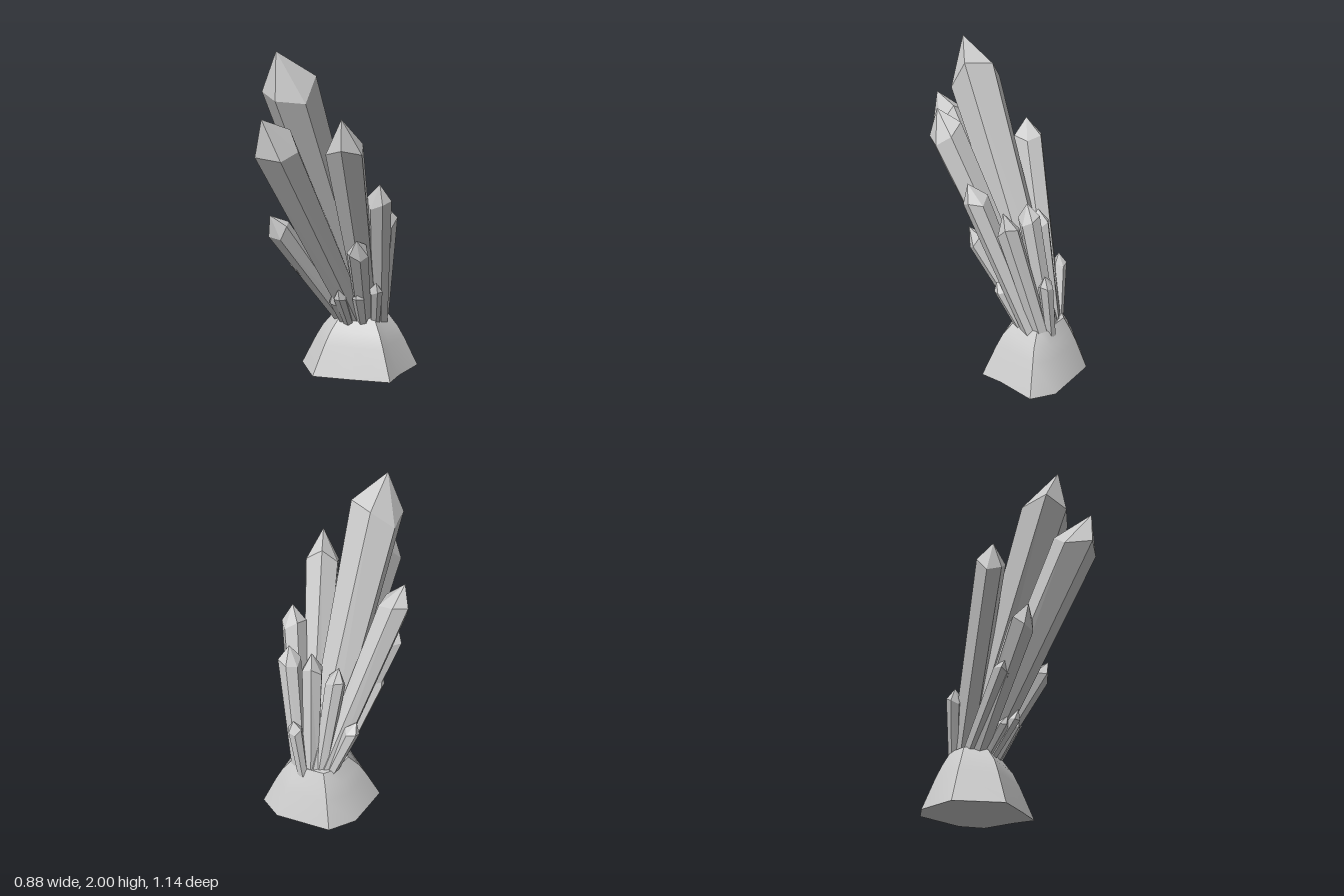
import * as THREE from 'three';
import { toCreasedNormals } from 'three/addons/utils/BufferGeometryUtils.js';

const crystalMat = new THREE.MeshStandardMaterial({ color: 0xcccccc, flatShading: true });
const rockMat = new THREE.MeshStandardMaterial({ color: 0xcccccc });

// Six-sided shaft that widens upward to an uneven shoulder and a point
function crystal(name, base, tip, radius, taper, seed) {
  const from = new THREE.Vector3(...base), to = new THREE.Vector3(...tip);
  const dir = to.clone().sub(from), length = dir.length();
  const shoulder = length - radius * 1.5;
  const profile = [[0, 0], [radius * taper, 0], [radius, shoulder], [0, length]]
    .map(([x, y]) => new THREE.Vector2(x, y));
  const geo = new THREE.LatheGeometry(profile, 6, seed * 0.7);
  const pos = geo.attributes.position;
  for (let i = 0; i < pos.count; i++) {
    if (Math.abs(pos.getY(i) - shoulder) > 1e-4) continue;
    const a = Math.atan2(pos.getZ(i), pos.getX(i));
    pos.setY(i, shoulder + radius * 0.35 * Math.cos(2 * a + seed));
    const s = 1 + 0.08 * Math.sin(a + seed * 2);
    pos.setX(i, pos.getX(i) * s);
    pos.setZ(i, pos.getZ(i) * s);
  }
  geo.computeVertexNormals();
  const mesh = new THREE.Mesh(geo, crystalMat);
  mesh.name = name;
  mesh.position.copy(from);
  mesh.quaternion.setFromUnitVectors(new THREE.Vector3(0, 1, 0), dir.normalize());
  return mesh;
}

// Faceted mound: one outline shrunk through several heights and capped
function rock() {
  const outline = [[-0.33, -0.26], [-0.2, 0.0], [0.06, 0.015], [0.3, 0.02], [0.34, -0.12],
    [0.44, -0.34], [0.34, -0.47], [0, -0.58], [-0.17, -0.5]];
  // height, scale, shift in z
  const rings = [[0, 0, 0], [0, 1, 0], [0.19, 0.76, 0], [0.27, 0.64, 0],
    [0.355, 0.46, -0.01], [0.375, 0, -0.03]];
  const n = outline.length, cx = 0.07, cz = -0.28, verts = [], index = [];
  rings.forEach(([y, s, dz]) => outline.forEach(([x, z]) =>
    verts.push(cx + (x - cx) * s, y, cz + (z - cz) * s + dz)));
  for (let r = 0; r < rings.length - 1; r++) {
    for (let i = 0; i < n; i++) {
      const a = r * n + i, b = r * n + (i + 1) % n;
      if (r > 0) index.push(a, b, a + n);
      if (r < rings.length - 2) index.push(b, b + n, a + n);
    }
  }
  const geo = new THREE.BufferGeometry();
  geo.setAttribute('position', new THREE.Float32BufferAttribute(verts, 3));
  geo.setIndex(index);
  const mesh = new THREE.Mesh(toCreasedNormals(geo, 0.6), rockMat);
  mesh.name = 'rockBase';
  return mesh;
}

export function createModel() {
  const model = new THREE.Group();
  model.name = 'crystalCluster';
  model.add(rock());

  // name, base x z, tip x y z, shoulder radius
  const crystals = [
    ['tallestCrystal', 0.08, -0.33, -0.31, 2.0, 0.36, 0.16],
    ['frontTallCrystal', 0.05, -0.25, -0.34, 1.63, 0.56, 0.135],
    ['leftTallCrystal', 0.12, -0.28, 0.06, 1.63, 0.38, 0.114],
    ['rightTallCrystal', 0.03, -0.35, -0.42, 1.49, -0.02, 0.093],
    ['leftMediumCrystal', 0.19, -0.27, 0.24, 1.25, 0.12, 0.077],
    ['rightMediumCrystal', -0.02, -0.25, -0.41, 1.06, 0.19, 0.076],
    ['leftBackCrystal', 0.19, -0.33, 0.25, 1.1, -0.1, 0.07],
    ['frontMediumCrystal', 0.1, -0.22, 0.11, 0.92, 0.17, 0.068],
    ['backMediumCrystal', 0.12, -0.36, 0.11, 1.12, -0.2, 0.068],
    ['rightBackCrystal', 0.06, -0.37, -0.05, 1.03, -0.22, 0.062],
    ['rightBackSmallCrystal', 0.0, -0.38, -0.16, 0.7, -0.33, 0.048],
    ['leftBackSmallCrystal', 0.17, -0.38, 0.22, 0.72, -0.35, 0.046],
    ['rightSmallCrystal', -0.04, -0.29, -0.32, 0.8, 0.04, 0.055],
    ['frontShard1', -0.02, -0.19, -0.08, 0.53, -0.03, 0.038],
    ['frontShard2', 0.01, -0.17, -0.03, 0.58, 0.02, 0.042],
    ['frontShard3', 0.1, -0.18, 0.09, 0.59, -0.02, 0.048],
    ['frontShard4', 0.17, -0.2, 0.2, 0.62, -0.04, 0.042],
  ];
  crystals.forEach(([name, bx, bz, x, y, z, r], i) =>
    model.add(crystal(name, [bx, 0.3, bz], [x, y, z], r, r > 0.1 ? 0.58 : 0.74, i + 1)));
  return model;
}
